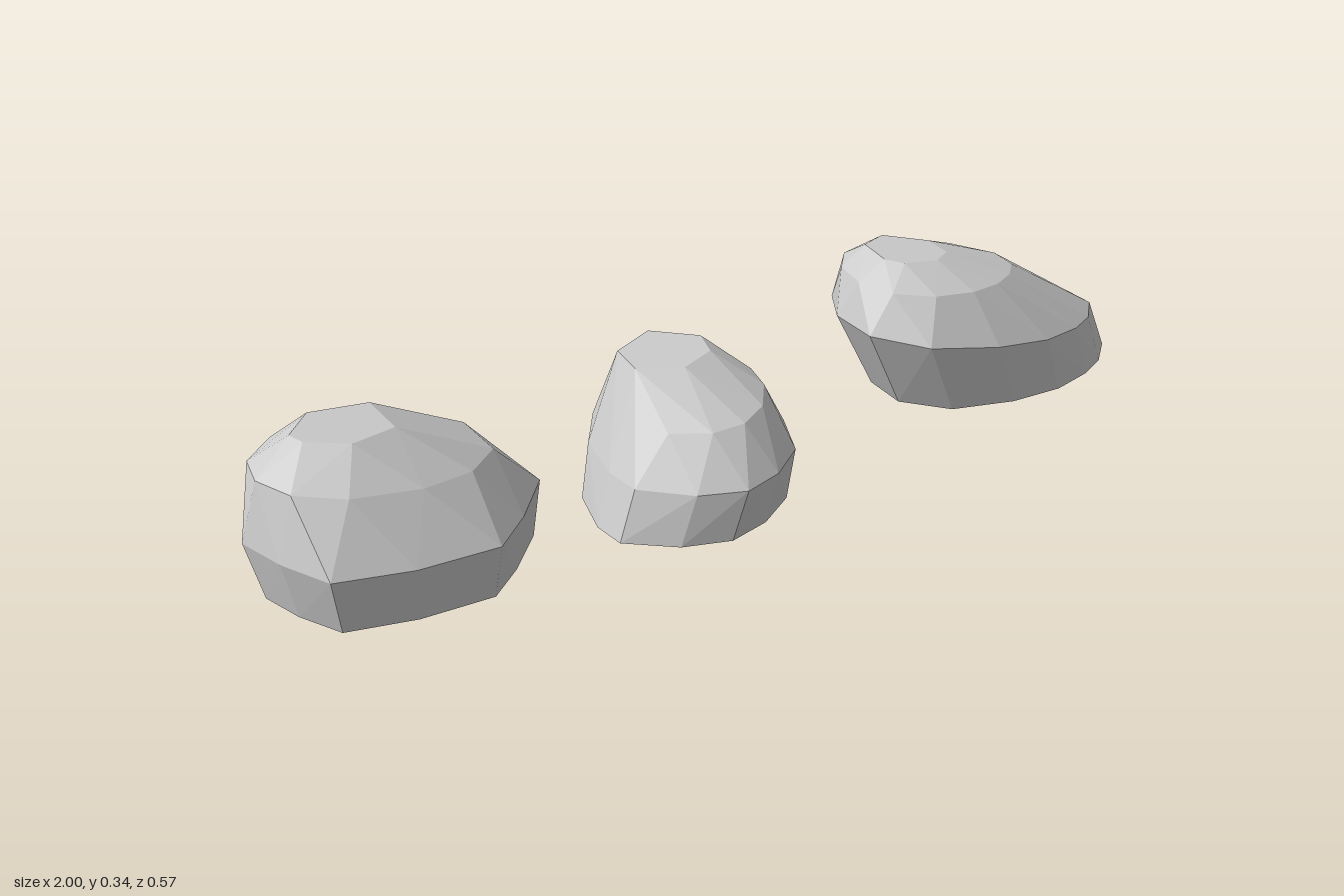
import * as THREE from 'three';
import { ConvexGeometry } from 'three/addons/geometries/ConvexGeometry.js';

// Rescale a closed plan outline so it fills -1..1 in both directions
function normalise(points) {
  const box = new THREE.Box2().setFromPoints(points);
  const mid = box.getCenter(new THREE.Vector2());
  const half = box.getSize(new THREE.Vector2()).multiplyScalar(0.5);
  return points.map((p) => p.clone().sub(mid).divide(half));
}

// Plan outlines for the stacked rings: full, edge midpoints, every other corner
function ringOutlines(plan) {
  const full = plan.map(([x, z]) => new THREE.Vector2(x, z));
  const mids = full.map((p, i) => p.clone().lerp(full[(i + 1) % full.length], 0.5));
  const sparse = full.filter((_, i) => i % 2 === 0);
  return { full: normalise(full), mids: normalise(mids), sparse: normalise(sparse) };
}

// A faceted boulder wrapped around tilted rings.
// Each ring: [outline, xMin, xMax, zMin, zMax, y at xMin, y at xMax]
function makeRock(name, plan, rings, material) {
  const outlines = ringOutlines(plan);
  const points = [];
  for (const [kind, x0, x1, z0, z1, y0, y1] of rings) {
    for (const p of outlines[kind]) {
      const u = (p.x + 1) / 2;
      const v = (p.y + 1) / 2;
      points.push(new THREE.Vector3(
        THREE.MathUtils.lerp(x0, x1, u),
        THREE.MathUtils.lerp(y0, y1, u),
        THREE.MathUtils.lerp(z0, z1, v)
      ));
    }
  }
  const rock = new THREE.Mesh(new ConvexGeometry(points), material);
  rock.name = name;
  return rock;
}

export function createModel() {
  const model = new THREE.Group();
  model.name = 'rocks';
  const stone = new THREE.MeshStandardMaterial({ color: 0xcccccc, flatShading: true });

  // Broad rock, sloping gently down towards the middle
  model.add(makeRock('rightRock', [
    [-1, -0.1], [-0.93, -0.2], [-0.82, -0.29], [-0.66, -0.29], [-0.52, -0.24],
    [-0.45, -0.02], [-0.55, 0.08], [-0.64, 0.15], [-0.8, 0.14], [-0.94, 0.1], [-0.98, 0],
  ], [
    ['full', -0.975, -0.47, -0.25, 0.13, 0.045, 0.013],
    ['full', -1, -0.45, -0.29, 0.155, 0.16, 0.125],
    ['mids', -0.97, -0.53, -0.265, 0.07, 0.28, 0.22],
    ['sparse', -0.89, -0.71, -0.17, -0.02, 0.33, 0.315],
  ], stone));

  // Small upright rock with a flat base
  model.add(makeRock('middleRock', [
    [-0.39, 0.15], [-0.39, 0.07], [-0.35, -0.05], [-0.27, -0.14], [-0.13, -0.14], [-0.02, -0.08],
    [0.02, 0.06], [0.02, 0.12], [-0.04, 0.22], [-0.13, 0.27], [-0.22, 0.285], [-0.31, 0.24],
  ], [
    ['full', -0.39, 0.01, -0.11, 0.27, 0.045, 0.045],
    ['full', -0.355, 0.02, -0.14, 0.285, 0.145, 0.15],
    ['mids', -0.305, -0.015, -0.125, 0.215, 0.23, 0.25],
    ['sparse', -0.26, -0.08, -0.09, 0.08, 0.312, 0.312],
  ], stone));

  // Long rock tapering to a low tip
  model.add(makeRock('leftRock', [
    [0.3, 0.05], [0.32, -0.07], [0.4, -0.17], [0.54, -0.23], [0.7, -0.235], [0.84, -0.18], [0.97, -0.05],
    [1, 0.06], [0.91, 0.13], [0.82, 0.17], [0.69, 0.2], [0.54, 0.195], [0.38, 0.15],
  ], [
    ['full', 0.38, 1, -0.185, 0.19, 0.05, 0],
    ['full', 0.3, 0.95, -0.235, 0.205, 0.22, 0.115],
    ['mids', 0.34, 0.72, -0.2, 0.13, 0.3, 0.268],
    ['sparse', 0.4, 0.56, -0.13, 0.04, 0.338, 0.325],
  ], stone));

  return model;
}
